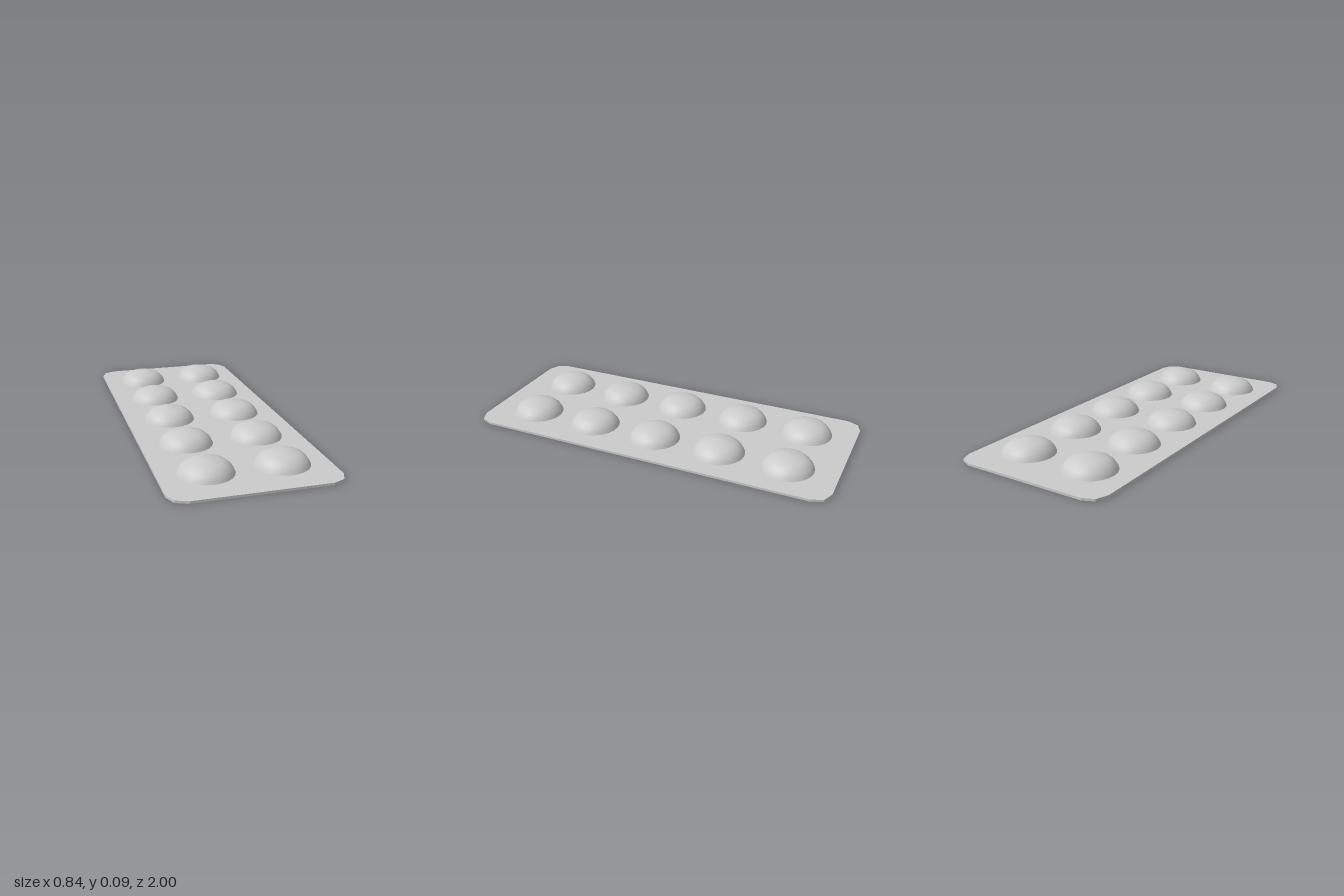
import * as THREE from 'three';

const SIDES = 24, RIM = 0.138, THICK = 0.012;

export function createModel() {
  const group = new THREE.Group();
  const material = new THREE.MeshStandardMaterial({ color: 0xcccccc, side: THREE.DoubleSide });

  // Pocket centres: two columns of five
  const centres = [];
  for (const x of [-0.187, 0.187])
    for (let row = -2; row <= 2; row++) centres.push([x, row * 0.369]);

  // Thin card outline with rounded corners in two facets each
  const hx = 0.42, hz = 1, r = 0.085;
  const outline = [];
  const corners = [[1, 1], [-1, 1], [-1, -1], [1, -1]];
  corners.forEach(([sx, sz], i) => {
    for (let k = 0; k <= 2; k++) {
      const a = (i + k / 2) * Math.PI / 2;
      outline.push(new THREE.Vector2(sx * (hx - r) + r * Math.cos(a), sz * (hz - r) + r * Math.sin(a)));
    }
  });
  const shape = new THREE.Shape(outline);

  // Openings under the pockets
  for (const [x, z] of centres) {
    const ring = [];
    for (let i = 0; i < SIDES; i++) {
      const a = -i / SIDES * Math.PI * 2;
      ring.push(new THREE.Vector2(x + RIM * Math.sin(a), -z + RIM * Math.cos(a)));
    }
    shape.holes.push(new THREE.Path(ring));
  }
  const cardGeometry = new THREE.ExtrudeGeometry(shape, { depth: THICK, bevelEnabled: false });
  cardGeometry.rotateX(-Math.PI / 2);
  const card = new THREE.Mesh(cardGeometry, material);
  card.name = 'card';
  group.add(card);

  // Hollow domed pockets
  const profile = [[RIM, THICK], [0.131, 0.028], [0.119, 0.045], [0.1, 0.062], [0.078, 0.0715], [0.052, 0.079], [0.026, 0.0835], [0, 0.085]]
    .map(([x, y]) => new THREE.Vector2(x, y));
  const domeGeometry = new THREE.LatheGeometry(profile, SIDES);
  centres.forEach(([x, z], i) => {
    const dome = new THREE.Mesh(domeGeometry, material);
    dome.name = `pocketDome${i + 1}`;
    dome.position.set(x, 0, z);
    group.add(dome);
  });
  return group;
}
